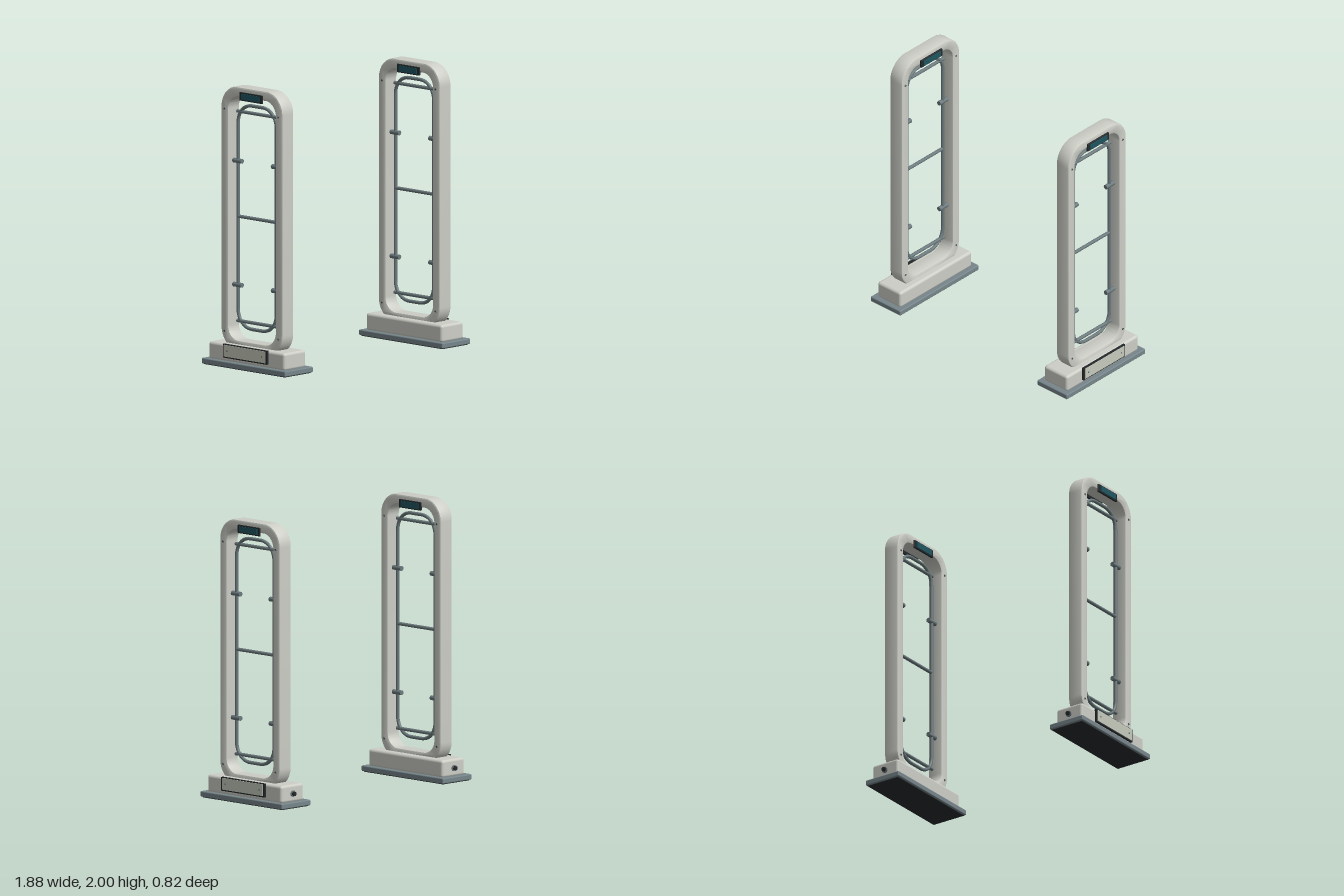
import * as THREE from 'three';
import { RoundedBoxGeometry } from 'three/addons/geometries/RoundedBoxGeometry.js';
import { toCreasedNormals } from 'three/addons/utils/BufferGeometryUtils.js';

const mat = (color) => new THREE.MeshStandardMaterial({ color });
const shell = mat(0xcccec6), steel = mat(0x6c7a7d), plate = mat(0x76858a);
const dark = mat(0x25292b), screenMat = mat(0x1f5560), panelMat = mat(0xc6cabc);

// Rounded rectangle: half width w, from y0 to y1, corner radius r
function roundedRect(path, w, y0, y1, r) {
  path.moveTo(-w + r, y0);
  path.lineTo(w - r, y0);
  path.absarc(w - r, y0 + r, r, -Math.PI / 2, 0);
  path.lineTo(w, y1 - r);
  path.absarc(w - r, y1 - r, r, 0, Math.PI / 2);
  path.lineTo(-w + r, y1);
  path.absarc(-w + r, y1 - r, r, Math.PI / 2, Math.PI);
  path.lineTo(-w, y0 + r);
  path.absarc(-w + r, y0 + r, r, Math.PI, Math.PI * 1.5);
  return path;
}

function frameGeometry() {
  const b = 0.012, depth = 0.116;
  const shape = roundedRect(new THREE.Shape(), 0.3 - b, 0.12 + b, 2 - b, 0.155 - b);
  shape.holes.push(roundedRect(new THREE.Path(), 0.23 + b, 0.19 - b, 1.93 + b, 0.1 + b));
  const geo = new THREE.ExtrudeGeometry(shape, {
    depth: depth - 2 * b, bevelThickness: b, bevelSize: b, bevelSegments: 2, curveSegments: 10,
  });
  geo.translate(0, 0, -depth / 2 + b);
  geo.rotateY(Math.PI / 2);
  return toCreasedNormals(geo, 0.6);
}

// Closed tube loop in the y-z plane, straight sides with arc corners
function loopGeometry() {
  const w = 0.187, y0 = 0.273, y1 = 1.867, r = 0.13, path = new THREE.CurvePath();
  const corners = [[w - r, y0 + r, -0.5], [w - r, y1 - r, 0], [-w + r, y1 - r, 0.5], [-w + r, y0 + r, 1]];
  const pts = [];
  for (const [cz, cy, start] of corners) {
    for (let i = 0; i <= 8; i++) {
      const a = (start + i / 16) * Math.PI;
      pts.push(new THREE.Vector3(0, cy + r * Math.sin(a), cz + r * Math.cos(a)));
    }
  }
  pts.forEach((p, i) => path.add(new THREE.LineCurve3(p, pts[(i + 1) % pts.length])));
  // Arc-length sampling keeps the corners evenly divided
  return new THREE.TubeGeometry(path, 200, 0.0125, 10, true);
}

function createGate(side) {
  const gate = new THREE.Group();
  gate.name = side > 0 ? 'leftGate' : 'rightGate';
  gate.position.x = side * 0.797;

  const add = (name, geo, material, x = 0, y = 0, z = 0) => {
    const m = new THREE.Mesh(geo, material);
    m.name = name;
    m.position.set(x, y, z);
    gate.add(m);
    return m;
  };
  const box = (name, w, h, d, material, x, y, z, r = 0) => add(name,
    r ? new RoundedBoxGeometry(w, h, d, 3, r) : new THREE.BoxGeometry(w, h, d), material, x, y, z);
  // Cylinder lying along x or z
  const rod = (name, axis, radius, length, material, x, y, z, sides = 14) => {
    const geo = new THREE.CylinderGeometry(radius, radius, length, sides);
    if (axis === 'x') geo.rotateZ(Math.PI / 2);
    else geo.rotateX(Math.PI / 2);
    return add(name, geo, material, x, y, z);
  };

  // Base
  box('rubberPad', 0.26, 0.008, 0.79, dark, 0, 0.004, 0);
  box('basePlate', 0.286, 0.04, 0.816, plate, 0, 0.025, 0, 0.008);
  box('baseHousing', 0.222, 0.126, 0.742, shell, 0, 0.101, 0, 0.02);

  // Service panel on the outer face of the base
  const outer = side * 0.111;
  box('panelSurround', 0.018, 0.098, 0.43, dark, outer + side * 0.006, 0.117, 0);
  box('servicePanel', 0.012, 0.084, 0.406, panelMat, outer + side * 0.013, 0.119, 0);
  for (const z of [-0.17, 0.17]) rod('panelScrew', 'x', 0.006, 0.004, steel, outer + side * 0.02, 0.12, z, 10);

  // Cable socket at the back
  rod('socketCollar', 'z', 0.022, 0.012, steel, 0, 0.1, -0.375, 18);
  rod('cableSocket', 'z', 0.015, 0.028, dark, 0, 0.1, -0.382, 16);

  // Upright frame
  add('frame', frameGeometry(), shell);
  for (const x of [-1, 1]) {
    box('displayBezel', 0.014, 0.06, 0.22, dark, x * 0.062, 1.938, 0, 0.004);
    box('displayScreen', 0.012, 0.042, 0.175, screenMat, x * 0.068, 1.938, 0);
    for (const y of [0.245, 1.83]) {
      for (const z of [-0.262, 0.262]) {
        rod('frameScrew', 'x', 0.008, 0.006, steel, x * 0.059, y, z, 12);
        box('screwSlot', 0.002, 0.003, 0.012, dark, x * 0.0622, y, z);
      }
    }
  }

  // Antenna loop with its crossbars and mounting clips
  add('antennaLoop', loopGeometry(), steel);
  for (const y of [0.32, 1.065, 1.815]) rod('crossbar', 'z', 0.0125, y === 1.065 ? 0.36 : 0.39, steel, 0, y, 0);
  for (const y of [0.575, 1.46]) {
    for (const z of [-0.19, 0.19]) rod('mountingClip', 'z', 0.017, 0.086, steel, 0, y, z, 16);
  }
  return gate;
}

export function createModel() {
  const model = new THREE.Group();
  model.name = 'securityGates';
  model.add(createGate(1), createGate(-1));
  return model;
}
